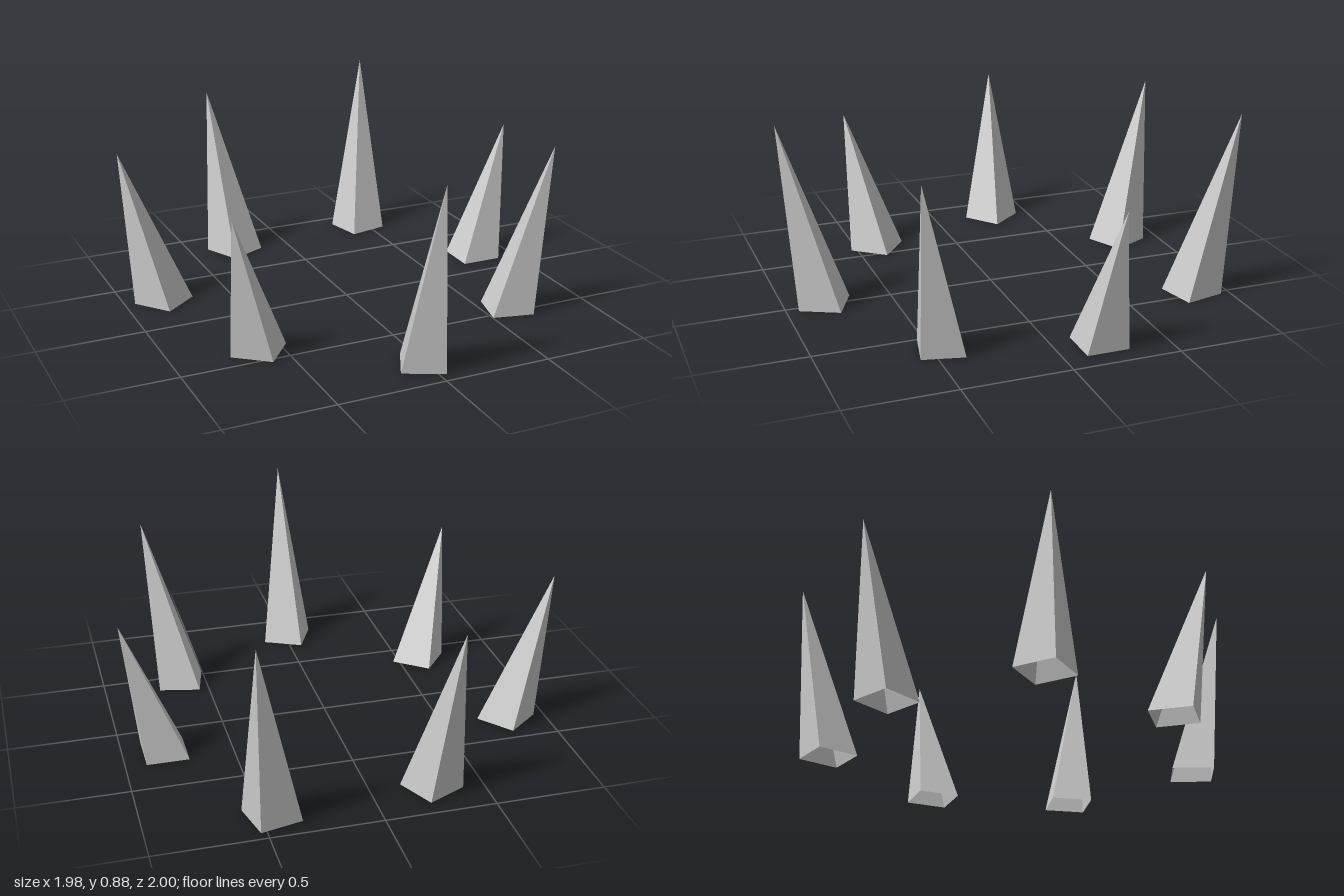
import * as THREE from 'three';

// Each spike: base centre x, z, then tip x, y, z, going round the ring
const SPIKES = [
  [0.807, -0.203, 0.985, 0.668, -0.235],
  [0.62, 0.455, 0.76, 0.81, 0.577],
  [-0.013, 0.813, -0.02, 0.875, 1.0],
  [-0.607, 0.393, -0.755, 0.668, 0.505],
  [-0.815, -0.305, -0.99, 0.737, -0.355],
  [-0.275, -0.793, -0.343, 0.807, -0.96],
  [0.453, -0.84, 0.54, 0.877, -1.0],
];
const BASE_RADIUS = 0.138;

// Open four-sided pyramid whose tip is pulled sideways so it leans outward
function leaningSpike([x, z, tipX, tipY, tipZ], yaw, material) {
  const geometry = new THREE.ConeGeometry(BASE_RADIUS, tipY, 4, 1, true, yaw);
  geometry.translate(0, tipY / 2, 0);
  const p = geometry.attributes.position;
  for (let i = 0; i < p.count; i++) {
    const t = p.getY(i) / tipY;
    p.setX(i, p.getX(i) + t * (tipX - x));
    p.setZ(i, p.getZ(i) + t * (tipZ - z));
  }
  geometry.computeVertexNormals();
  const mesh = new THREE.Mesh(geometry, material);
  mesh.position.set(x, 0, z);
  return mesh;
}

export function createModel() {
  const group = new THREE.Group();
  group.name = 'spikeRing';
  const grey = new THREE.MeshStandardMaterial({
    color: 0xcccccc, flatShading: true, side: THREE.DoubleSide,
  });
  grey.name = 'light grey';

  // The bases turn by an even step from one spike to the next
  SPIKES.forEach((data, i) => {
    const yaw = Math.PI / 4 - (i * Math.PI) / 14;
    const spike = leaningSpike(data, yaw, grey);
    spike.name = `spike${i + 1}`;
    group.add(spike);
  });
  return group;
}
